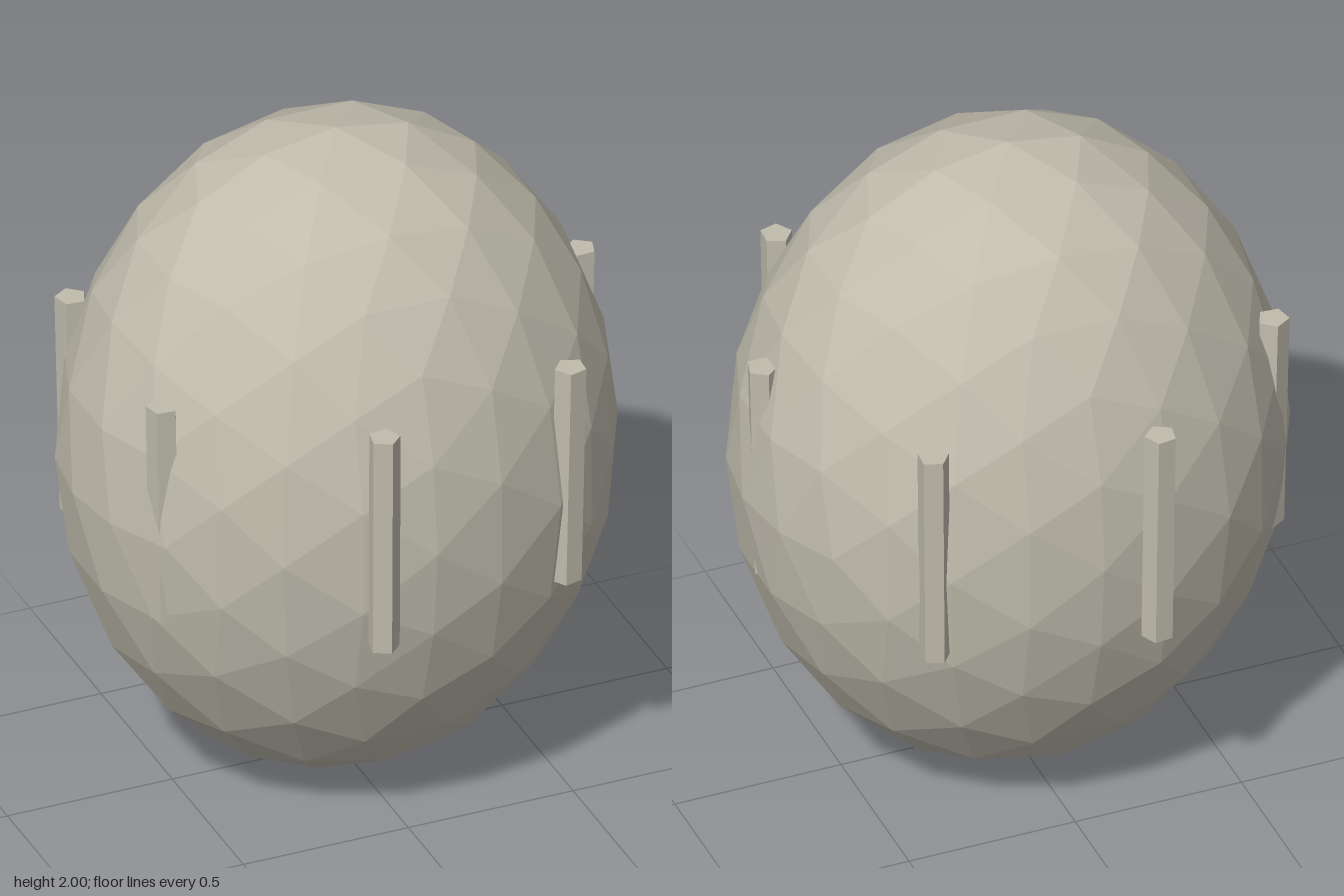
import * as THREE from 'three';

const stone = new THREE.MeshStandardMaterial({ color: 0xc0bcad, flatShading: true });
stone.name = 'warm grey stone';

// Icosphere halved twice, so that vertices are pushed out to the sphere at each step
function icosphere() {
  const base = new THREE.IcosahedronGeometry(1, 1).attributes.position;
  const faces = Array.from({ length: base.count }, (_, i) => i);
  const sphere = new THREE.PolyhedronGeometry(Array.from(base.array), faces, 1, 1);
  sphere.computeVertexNormals();
  return sphere;
}

export function createModel() {
  const model = new THREE.Group();
  model.name = 'ribbedEgg';
  const zShift = -0.006;

  // Egg-shaped body
  const bodyGeometry = icosphere().scale(0.8, 1, 0.712);
  const body = new THREE.Mesh(bodyGeometry, stone);
  body.name = 'body';
  body.position.set(0, 1, zShift);
  model.add(body);

  // Seven five-sided rods in a ring, leaning slightly outward at the top
  const height = 0.69, lean = 0.022, count = 7;
  const rods = new THREE.Group();
  rods.name = 'rods';
  rods.position.set(0, 1.085, zShift);
  for (let i = 0; i < count; i++) {
    const a = (i / count) * Math.PI * 2;
    const c = Math.cos(a), s = Math.sin(a);
    const geometry = new THREE.CylinderGeometry(0.046, 0.046, height, 5);
    geometry.rotateY(-0.6 * c);
    // Lean by shear, keeping the ends level
    const p = geometry.attributes.position;
    for (let v = 0; v < p.count; v++) {
      const d = p.getY(v) * lean;
      p.setX(v, p.getX(v) + d * c);
      p.setZ(v, p.getZ(v) + d * s);
    }
    geometry.computeVertexNormals();
    const rod = new THREE.Mesh(geometry, stone);
    rod.name = `rod${i + 1}`;
    rod.position.set(0.732 * c, 0, 0.732 * s);
    rods.add(rod);
  }
  model.add(rods);

  return model;
}
